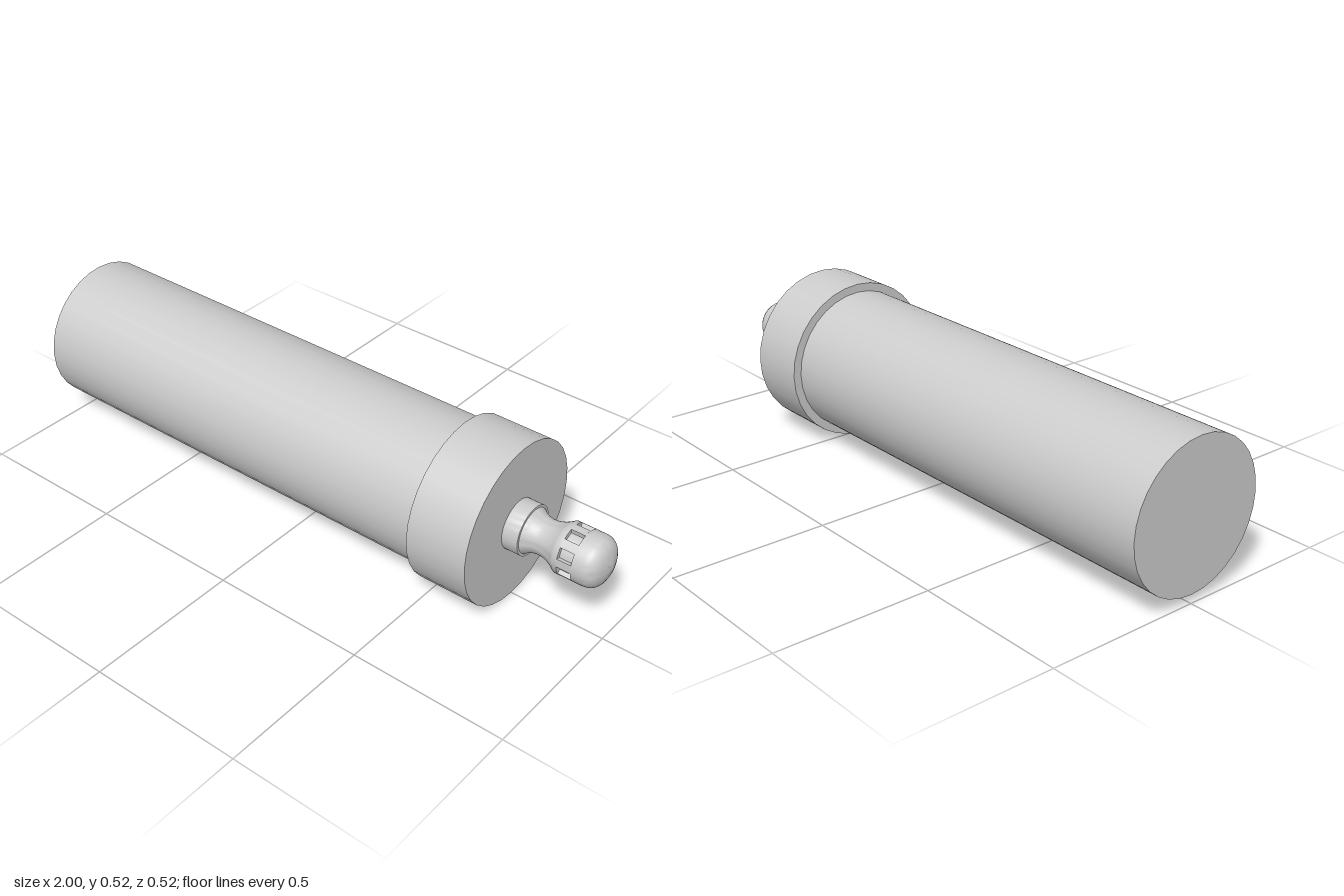
import * as THREE from 'three';
import { toCreasedNormals } from 'three/addons/utils/BufferGeometryUtils.js';

const AXIS_Y = 0.261;
const TIP_R = 0.08;
const material = new THREE.MeshStandardMaterial({ color: 0xcccccc });

export function createModel() {
  const model = new THREE.Group();

  const add = (name, geometry) => {
    const mesh = new THREE.Mesh(geometry, material);
    mesh.name = name;
    mesh.position.y = AXIS_Y;
    model.add(mesh);
  };

  // Cylinder lying along x
  const rod = (name, radius, x0, x1) => {
    const g = new THREE.CylinderGeometry(radius, radius, x1 - x0, 32);
    g.rotateZ(-Math.PI / 2).translate((x0 + x1) / 2, 0, 0);
    add(name, g);
  };

  // Turned part from [x, radius] pairs
  const turned = (name, profile) => {
    const g = new THREE.LatheGeometry(profile.map(([x, r]) => new THREE.Vector2(r, x)), 48);
    g.rotateZ(-Math.PI / 2);
    add(name, toCreasedNormals(g, Math.PI / 5));
  };

  rod('body', 0.233, -1, 0.49);
  rod('collar', 0.26, 0.49, 0.69);

  // Base of the pin and its waisted neck
  const waist = [];
  for (let i = 0; i <= 12; i++) {
    const t = i / 12;
    const rise = t < 0.4 ? 0.017 : 0.025;
    const bend = Math.pow(Math.abs(t < 0.4 ? (0.4 - t) / 0.4 : (t - 0.4) / 0.6), 2);
    waist.push([0.742 + 0.113 * t, 0.055 + rise * bend]);
  }
  turned('pinNeck', [
    [0.69, TIP_R], [0.742, TIP_R], ...waist, [0.87, TIP_R], [0.87, 0],
  ]);

  // Band with eight recessed windows
  const band = new THREE.Shape();
  const half = THREE.MathUtils.degToRad(12.5);
  for (let i = 0; i < 8; i++) {
    const mid = ((i + 0.5) * Math.PI) / 4;
    band.absarc(0, 0, TIP_R - 0.014, mid - half, mid + half, false);
    band.absarc(0, 0, TIP_R, mid + half, mid + Math.PI / 4 - half, false);
  }
  const bandGeometry = new THREE.ExtrudeGeometry(band, {
    depth: 0.045, bevelEnabled: false, curveSegments: 4,
  });
  bandGeometry.rotateY(Math.PI / 2).translate(0.87, 0, 0);
  add('windowBand', toCreasedNormals(bandGeometry, Math.PI / 5));

  // Domed end of the pin
  turned('pinTip', [
    [0.915, 0], [0.915, TIP_R], [0.945, TIP_R], [0.96, 0.078], [0.972, 0.071],
    [0.982, 0.061], [0.989, 0.046], [0.994, 0.029], [0.998, 0.012], [1, 0],
  ]);

  return model;
}
